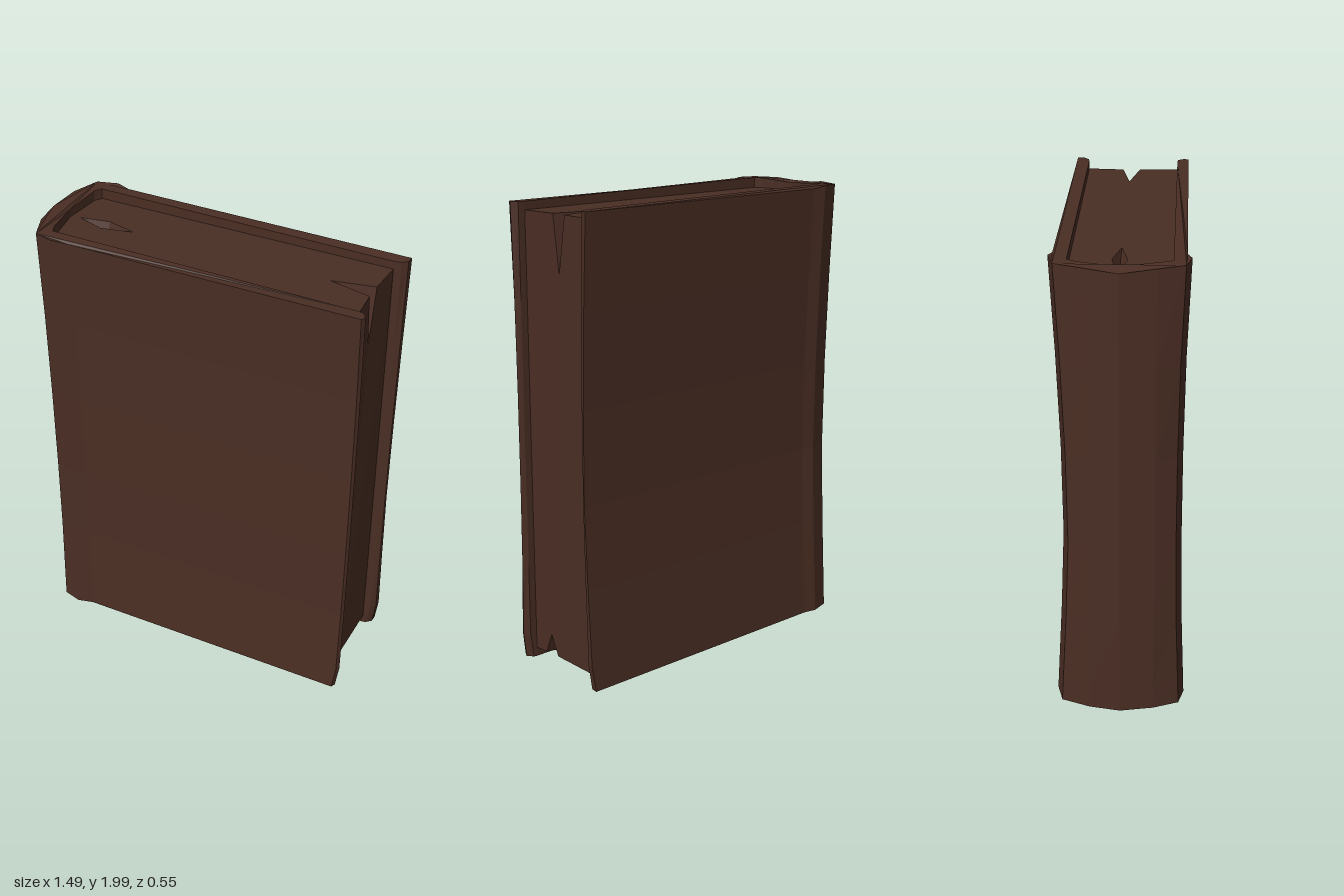
import * as THREE from 'three';

// Flat-shaded mesh from a list of triangles (each three [x, y, z] corners)
function meshFromTriangles(name, tris, material) {
  const geometry = new THREE.BufferGeometry();
  geometry.setAttribute('position', new THREE.Float32BufferAttribute(tris.flat(2), 3));
  geometry.computeVertexNormals();
  const mesh = new THREE.Mesh(geometry, material);
  mesh.name = name;
  return mesh;
}

// Triangulate a flat outline with holes, mapping each 2D point to 3D
function fill(outline, holes, place) {
  const toVec = ([a, b]) => new THREE.Vector2(a, b);
  const all = [outline, ...holes].flat();
  return THREE.ShapeUtils.triangulateShape(outline.map(toVec), holes.map(h => h.map(toVec)))
    .map(face => face.map(i => place(all[i])));
}

export function createModel() {
  const book = new THREE.Group();
  book.name = 'book';
  const leather = new THREE.MeshStandardMaterial({ color: 0x4a2e24, flatShading: true });
  leather.name = 'dark brown';
  const paper = leather.clone();
  paper.side = THREE.DoubleSide;
  paper.name = 'dark brown pages';

  // Cover: C-shaped section (x, z), counter-clockwise from above
  const section = [
    [0.73, 0.25], [0.74, 0.23], [0.72, 0.203], [0.69, 0.2], [-0.63, 0.2], [-0.645, 0.16],
    [-0.67, 0], [-0.65, -0.17], [-0.63, -0.2], [0.69, -0.2], [0.72, -0.205], [0.742, -0.225],
    [0.745, -0.255], [-0.53, -0.262], [-0.59, -0.275], [-0.68, -0.25], [-0.725, -0.13],
    [-0.748, 0], [-0.722, 0.14], [-0.68, 0.248], [-0.6, 0.27], [-0.53, 0.252],
  ];
  // Each level: height, front and back waist, corner wear at the fore edge
  const levels = [
    [0.01, 0, 0, 0.015], [0.12, 0.004, 0.006, 0], [0.45, 0.016, 0.024, 0],
    [0.8, 0.021, 0.038, 0], [1.2, 0.021, 0.034, 0], [1.6, 0.015, 0.02, 0], [2, 0, 0, 0],
  ];
  const rings = levels.map(([y, front, back, wear]) => section.map(([x, z]) => {
    const amount = Math.max(0, Math.min(1, (Math.abs(z) - 0.205) / 0.04));
    const top = y > 1.9 && x > -0.55 ? 0.01 : 0;
    return [
      x > 0.7 ? x - wear : x,
      y - top - (top === 0 && y > 1.9 && Math.abs(z) < 0.05 ? 0.012 : 0),
      z - Math.sign(z) * amount * (z > 0 ? front : back),
    ];
  }));
  const coverTris = [];
  for (let k = 0; k < rings.length - 1; k++) {
    const lo = rings[k], hi = rings[k + 1];
    section.forEach((_, i) => {
      const j = (i + 1) % section.length;
      coverTris.push([lo[i], lo[j], hi[j]], [lo[i], hi[j], hi[i]]);
    });
  }
  const cap = THREE.ShapeUtils.triangulateShape(section.map(([x, z]) => new THREE.Vector2(x, -z)), []);
  for (const [a, b, c] of cap) {
    const top = rings[rings.length - 1], low = rings[0];
    coverTris.push([top[a], top[b], top[c]], [low[c], low[b], low[a]]);
  }
  book.add(meshFromTriangles('cover', coverTris, leather));

  // Page block: slightly hollow fore edge with worn notches
  const topY = 1.955, lowY = 0.05;
  const foreX = z => 0.69 - 0.012 * (1 - Math.abs(z) / 0.2);
  const edge = z => [foreX(z), z];
  const spineSide = [[-0.63, -0.2], [-0.65, -0.17], [-0.67, 0], [-0.645, 0.16], [-0.63, 0.2]];
  const dent = [[-0.63, -0.015], [-0.5, -0.037], [-0.37, -0.004], [-0.51, 0.025]];
  const topNotch = [0.5, -0.01], lowNotch = [0.58, 0.1];

  book.add(meshFromTriangles('pageTop', fill(
    [...spineSide, edge(0.2), edge(0.03), topNotch, edge(-0.045), edge(-0.2)],
    [dent], ([x, z]) => [x, topY, z]), paper));
  book.add(meshFromTriangles('pageBottom', fill(
    [...spineSide, edge(0.2), edge(0.135), lowNotch, edge(0.06), edge(-0.2)],
    [], ([x, z]) => [x, lowY, z]), paper));
  book.add(meshFromTriangles('pageForeEdge', fill(
    [[0.2, lowY], [0.2, topY], [0.03, topY], [0, 1.71], [-0.045, topY],
      [-0.2, topY], [-0.2, lowY], [0.06, lowY], [0.1, 0.14], [0.135, lowY]],
    [], ([z, y]) => [foreX(z), y, z]), paper));

  // Inner walls of the notches
  function notch(name, y, inner, tip, sides) {
    const tris = sides.map(z => [[foreX(z), y, z], [inner[0], y, inner[1]], [foreX(tip[0]), tip[1], tip[0]]]);
    book.add(meshFromTriangles(name, tris, paper));
  }
  notch('topNotch', topY, topNotch, [0, 1.71], [0.03, -0.045]);
  notch('bottomNotch', lowY, lowNotch, [0.1, 0.14], [0.135, 0.06]);

  // Diamond dent in the page top
  const pit = [-0.5, 1.89, -0.01];
  book.add(meshFromTriangles('topDent', dent.map(([x, z], i) => {
    const [x2, z2] = dent[(i + 1) % dent.length];
    return [[x, topY, z], pit, [x2, topY, z2]];
  }), paper));

  return book;
}
